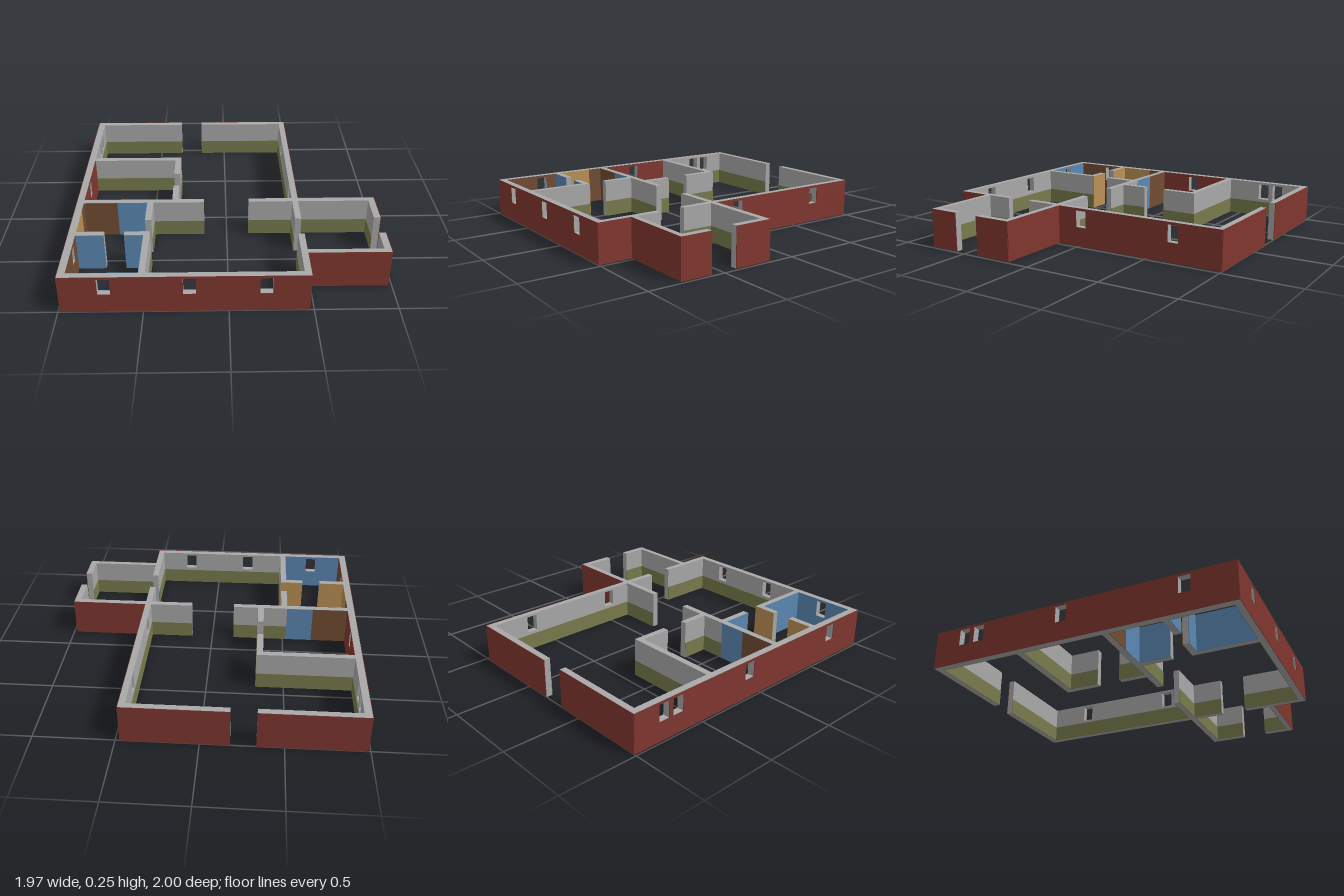
import * as THREE from 'three';

const H = 0.25, DADO = 0.105, SKIN = 0.003, SILL = 0.125, HEAD = 0.234;

const mat = (name, color) => Object.assign(new THREE.MeshStandardMaterial({ color }), { name });

// window openings: wall direction, wall centre line, start and end along the wall
const WINDOWS = [
  ['x', 0.975, -0.76, -0.685], ['x', 0.975, -0.265, -0.19], ['x', 0.975, 0.18, 0.255],
  ['z', 0.45, -0.055, 0.02], ['z', 0.45, -0.715, -0.645],
  ['z', -0.963, -0.825, -0.752], ['z', -0.963, -0.72, -0.645],
  ['z', -0.963, -0.135, -0.06], ['z', -0.963, 0.65, 0.725],
];

// wall cores: direction, start and end along it, thickness range
const WALLS = {
  frontWall: [['x', -0.985, 0.475, 0.957, 0.997]],
  backWall: [['x', -0.985, -0.335, -1, -0.96], ['x', -0.18, 0.472, -1, -0.96]],
  leftOuterWall: [['z', -0.96, 0.957, -0.985, -0.94]],
  rightOuterWall: [['z', -0.96, 0.157, 0.432, 0.472], ['z', 0.197, 0.405, 0.432, 0.472],
    ['z', 0.575, 0.957, 0.435, 0.475]],
  porchWall: [['x', 0.145, 0.978, 0.157, 0.197], ['z', 0.197, 0.405, 0.936, 0.978],
    ['z', 0.575, 0.742, 0.936, 0.978], ['x', 0.475, 0.978, 0.742, 0.777]],
  bedroomWall: [['x', -0.94, -0.32, -0.418, -0.378], ['z', -0.378, -0.175, -0.36, -0.32],
    ['z', 0.017 - 0.035, 0.16, -0.36, -0.32], ['x', -0.94, -0.15, 0.16, 0.2]],
  bathroomWall: [['z', 0.2, 0.41, -0.522, -0.482], ['x', -0.94, -0.765, 0.537, 0.575],
    ['x', -0.64, -0.482, 0.537, 0.575], ['z', 0.575, 0.957, -0.52, -0.482]],
};

// painted faces: direction, face position, side it faces, start and end along it
const RED = [
  ['x', 0.997, 1, -0.985, 0.475], ['x', -1, -1, -0.985, -0.335], ['x', -1, -1, -0.18, 0.472],
  ['z', -0.985, -1, -1, 0.997], ['z', 0.472, 1, -1, 0.157], ['z', 0.475, 1, 0.777, 0.997],
  ['x', 0.157, -1, 0.472, 0.978], ['z', 0.978, 1, 0.157, 0.405], ['z', 0.978, 1, 0.575, 0.777],
  ['x', 0.777, 1, 0.475, 0.978], ['z', -0.94, 1, -0.378, 0.16],
];
const BLUE = [
  ['x', 0.16, -1, -0.7, -0.522], ['x', 0.2, 1, -0.72, -0.522], ['z', -0.522, -1, 0.2, 0.41],
  ['x', 0.957, -1, -0.94, -0.52], ['x', 0.575, 1, -0.94, -0.765], ['x', 0.575, 1, -0.64, -0.52],
  ['z', -0.52, -1, 0.575, 0.957],
];
const BROWN = [
  ['x', 0.16, -1, -0.94, -0.7], ['x', 0.2, 1, -0.94, -0.72],
  ['z', -0.94, 1, 0.2, 0.3], ['z', -0.94, 1, 0.575, 0.957],
];
const TAN = [
  ['z', -0.94, 1, 0.3, 0.537], ['x', 0.537, -1, -0.94, -0.765], ['x', 0.537, -1, -0.64, -0.482],
];
const GREEN = [
  // large room
  ['z', -0.94, 1, -0.96, -0.418], ['x', -0.96, 1, -0.94, -0.335], ['x', -0.96, 1, -0.18, 0.432],
  ['z', 0.432, -1, -0.96, 0.157], ['x', -0.418, -1, -0.94, -0.32], ['z', -0.32, 1, -0.418, -0.175],
  ['z', -0.32, 1, -0.018, 0.16], ['x', 0.16, -1, -0.32, -0.15], ['x', 0.157, -1, 0.145, 0.432],
  // bedroom
  ['x', -0.378, 1, -0.94, -0.36], ['z', -0.36, -1, -0.378, -0.175], ['z', -0.36, -1, -0.018, 0.16],
  ['x', 0.16, -1, -0.522, -0.36],
  // living room
  ['x', 0.2, 1, -0.482, -0.15], ['x', 0.197, 1, 0.145, 0.432], ['z', 0.432, -1, 0.197, 0.405],
  ['z', 0.435, -1, 0.575, 0.957], ['x', 0.957, -1, -0.482, 0.435], ['z', -0.482, 1, 0.2, 0.41],
  ['z', -0.482, 1, 0.537, 0.957],
  // porch
  ['x', 0.197, 1, 0.472, 0.936], ['z', 0.472, 1, 0.197, 0.405], ['z', 0.475, 1, 0.575, 0.742],
  ['x', 0.742, -1, 0.475, 0.936], ['z', 0.936, -1, 0.197, 0.405], ['z', 0.936, -1, 0.575, 0.742],
];

function rect(path, a0, a1, y0, y1) {
  path.moveTo(a0, y0);
  path.lineTo(a1, y0);
  path.lineTo(a1, y1);
  path.lineTo(a0, y1);
  path.closePath();
  return path;
}

// upright slab running along x or z, pierced by the windows on its line
function slab(axis, a0, a1, t0, t1, top, material) {
  const shape = rect(new THREE.Shape(), a0, a1, 0, top);
  for (const [dir, line, w0, w1] of WINDOWS) {
    const onLine = dir === axis && Math.abs((t0 + t1) / 2 - line) < 0.04;
    if (onLine && top > HEAD && w0 > a0 && w1 < a1) {
      shape.holes.push(rect(new THREE.Path(), w0, w1, SILL, HEAD));
    }
  }
  const geometry = new THREE.ExtrudeGeometry(shape, { depth: t1 - t0, bevelEnabled: false });
  const mesh = new THREE.Mesh(geometry, material);
  if (axis === 'x') {
    mesh.position.z = t0;
  } else {
    mesh.rotation.y = -Math.PI / 2;
    mesh.position.x = t1;
  }
  return mesh;
}

export function createModel() {
  const model = new THREE.Group();
  model.name = 'housePlan';

  // plain plaster walls
  const plaster = mat('plaster grey', 0xa8a8a8);
  for (const [name, list] of Object.entries(WALLS)) {
    const group = new THREE.Group();
    group.name = name;
    for (const [axis, a0, a1, t0, t1] of list) group.add(slab(axis, a0, a1, t0, t1, H, plaster));
    model.add(group);
  }

  // thin painted finishes on the wall faces
  const finishes = [
    ['redWallFinish', RED, H, mat('brick red', 0x80362f)],
    ['blueWallFinish', BLUE, H, mat('tile blue', 0x5b87b2)],
    ['brownWallFinish', BROWN, H, mat('wood brown', 0x714c33)],
    ['tanWallFinish', TAN, H, mat('warm tan', 0xba9054)],
    ['greenDado', GREEN, DADO, mat('olive green', 0x777a4c)],
  ];
  for (const [name, list, top, material] of finishes) {
    const group = new THREE.Group();
    group.name = name;
    for (const [axis, at, side, a0, a1] of list) {
      const t0 = side > 0 ? at : at - SKIN;
      group.add(slab(axis, a0, a1, t0, t0 + SKIN, top, material));
    }
    model.add(group);
  }
  return model;
}
